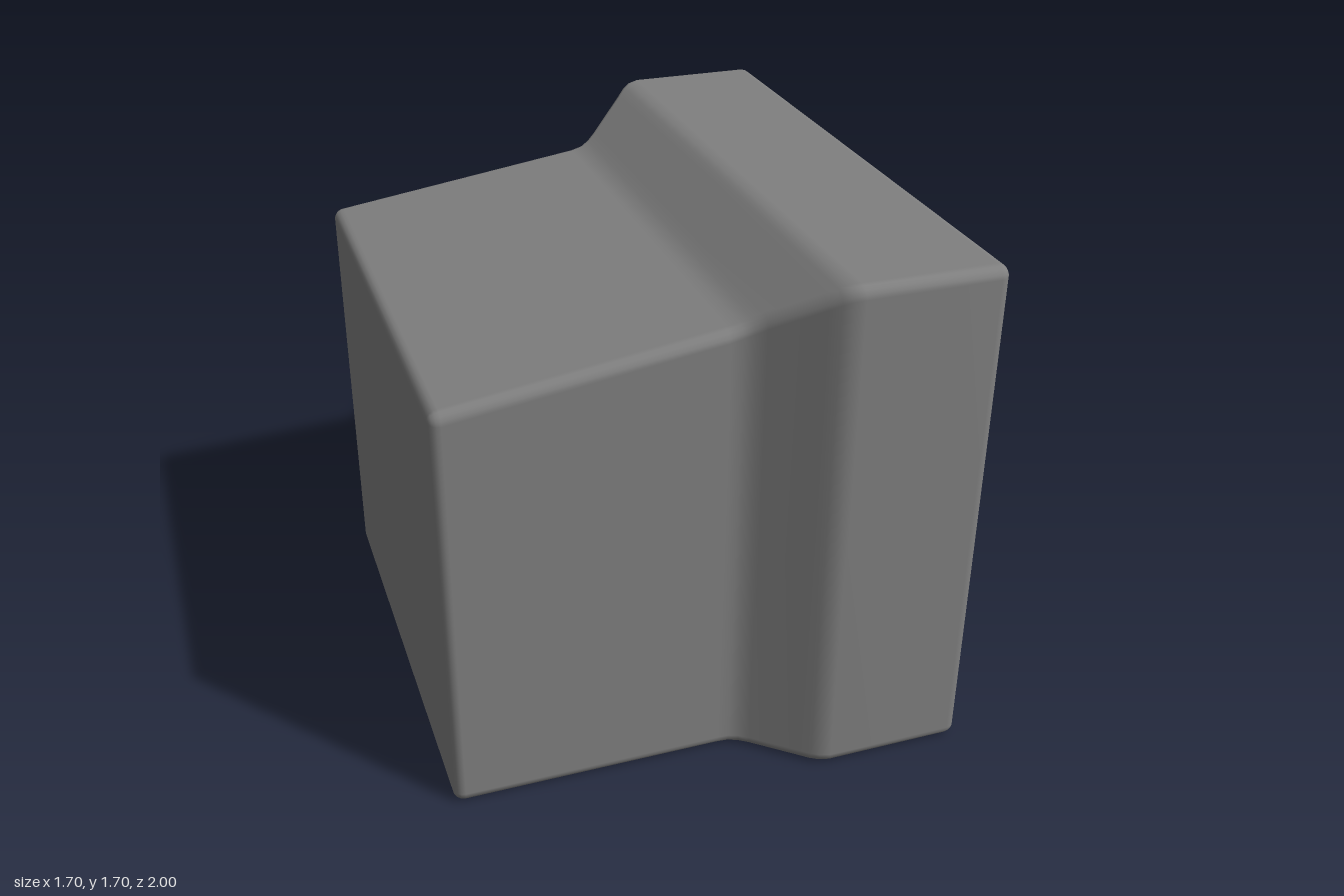
import * as THREE from 'three';

const ARC = 5; // points per rounded corner

// Rounded rectangle across the x axis, counter-clockwise seen from +x
function ring(x, halfZ, y0, y1, r) {
  const pts = [];
  const corners = [[1, y1], [-1, y1], [-1, y0], [1, y0]];
  corners.forEach(([side, y], k) => {
    const cz = -side * (halfZ - r);
    const cy = y === y1 ? y1 - r : y0 + r;
    for (let i = 0; i < ARC; i++) {
      const a = (k + i / (ARC - 1)) * Math.PI / 2;
      pts.push([x, cy + r * Math.sin(a), cz - r * Math.cos(a)]);
    }
  });
  return pts;
}

// Skin a row of rings, closing the first one with a fan
function skin(rings) {
  const n = rings[0].length;
  const pos = rings.flat(2);
  const idx = [];
  for (let i = 0; i < rings.length - 1; i++) {
    for (let j = 0; j < n; j++) {
      const k = (j + 1) % n;
      const a = i * n + j, b = i * n + k, c = b + n, d = a + n;
      idx.push(a, b, c, a, c, d);
    }
  }
  const centre = pos.length / 3;
  const ys = rings[0].map((p) => p[1]);
  pos.push(rings[0][0][0], (Math.min(...ys) + Math.max(...ys)) / 2, 0);
  for (let j = 0; j < n; j++) idx.push(centre, (j + 1) % n, j);
  const geo = new THREE.BufferGeometry();
  geo.setAttribute('position', new THREE.Float32BufferAttribute(pos, 3));
  geo.setIndex(idx);
  geo.computeVertexNormals();
  return geo;
}

// Housing: narrow sloping rear, flared shoulder, square front with a screen opening
function housingGeometry() {
  const R = 0.035, STEPS = 4;
  const back = -0.85, front = 0.805;
  const rings = [];
  const outer = (x, halfZ, top, inset = 0) =>
    rings.push(ring(x, halfZ - inset, inset, top - inset, R + 0.003 - inset));

  // rounded rear edge
  for (let i = 0; i <= STEPS; i++) {
    const a = (i / STEPS) * Math.PI / 2;
    outer(back + R * (1 - Math.cos(a)), 0.805, 1.405, R * (1 - Math.sin(a)));
  }
  // sides and shoulder: x, half width, top
  [
    [0.03, 0.805, 1.525], [0.07, 0.808, 1.535], [0.1, 0.82, 1.55], [0.13, 0.84, 1.57],
    [0.26, 0.949, 1.66], [0.29, 0.975, 1.682], [0.315, 0.99, 1.694], [0.35, 1, 1.7],
  ].forEach((s) => outer(...s));
  // rounded front edge
  for (let i = 0; i <= STEPS; i++) {
    const a = (i / STEPS) * Math.PI / 2;
    outer(front - R * (1 - Math.sin(a)), 1, 1.7, R * (1 - Math.cos(a)));
  }
  // lip and inner wall of the screen opening: x, inset
  [[0.805, 0], [0.802, 0.008], [0.795, 0.014], [0.785, 0.017], [0.7, 0.02]].forEach(([x, inset]) =>
    rings.push(ring(x, 0.785 - inset, 0.193 + inset, 1.532 - inset, 0.06 - inset)));
  return skin(rings);
}

// Bulging glass, flat in the middle and falling away to its edges
function screenGeometry() {
  const halfZ = 0.768, halfY = 0.652;
  const geo = new THREE.PlaneGeometry(2, 2, 32, 32);
  const p = geo.attributes.position;
  const fall = (t) => 1 - Math.pow(Math.abs(t), 3.3);
  for (let i = 0; i < p.count; i++) {
    const u = p.getX(i), v = p.getY(i);
    p.setXYZ(i, 0.72 + 0.13 * fall(u) * fall(v), 0.8625 + v * halfY, -u * halfZ);
  }
  geo.computeVertexNormals();
  return geo;
}

export function createModel() {
  const group = new THREE.Group();
  group.name = 'monitor';
  const add = (name, geometry, color) => {
    const mesh = new THREE.Mesh(geometry, new THREE.MeshStandardMaterial({ color }));
    mesh.name = name;
    group.add(mesh);
  };
  add('housing', housingGeometry(), 0x808080);
  add('screen', screenGeometry(), 0x3c3c3c);
  return group;
}
